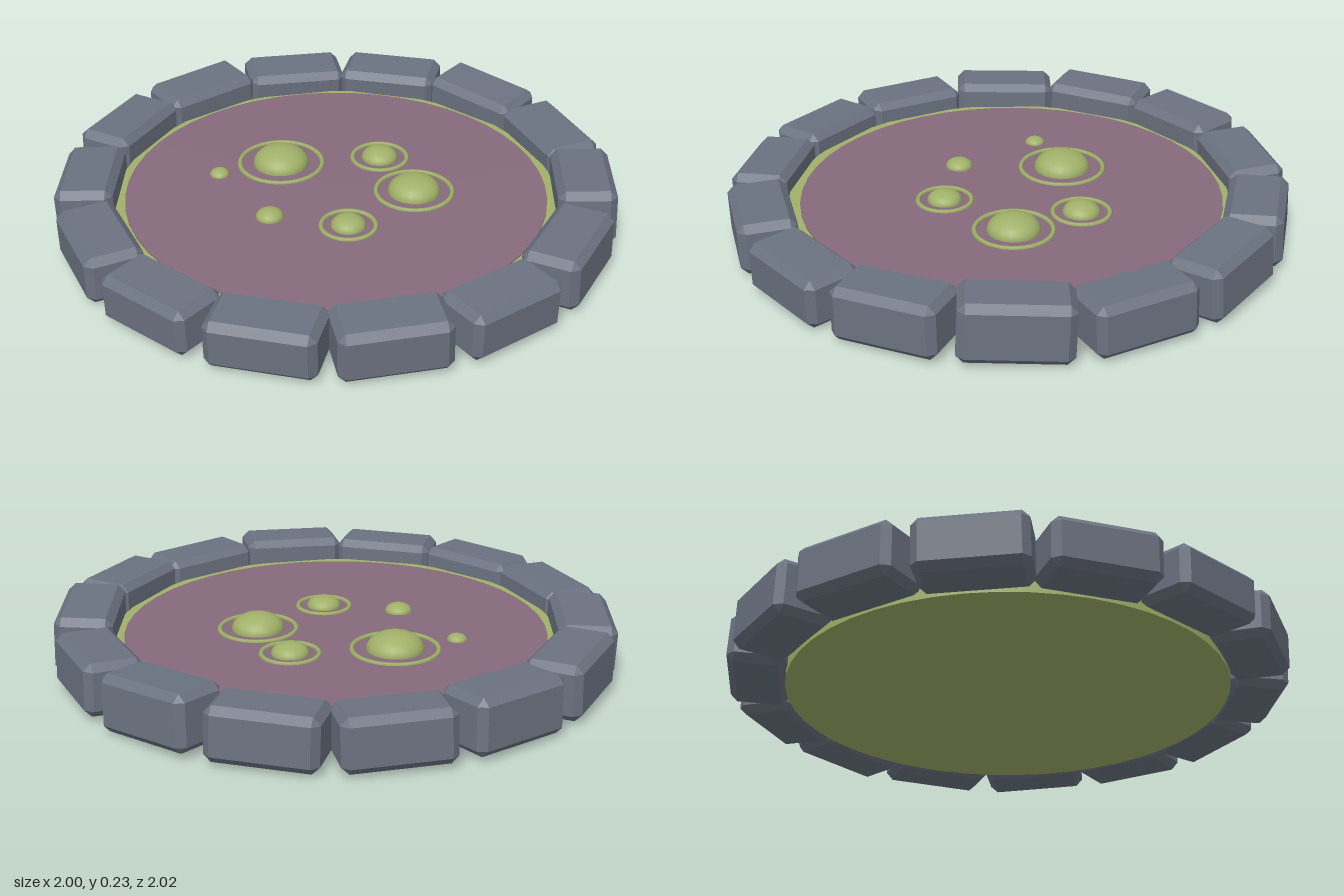
import * as THREE from 'three';
import { ConvexGeometry } from 'three/addons/geometries/ConvexGeometry.js';

const material = (name, color, flatShading = false) => {
  const m = new THREE.MeshStandardMaterial({ color, flatShading });
  m.name = name;
  return m;
};

// Box with every edge cut off by a bevel k
function chamferedBox(w, h, d, k) {
  const points = [];
  for (const x of [-w / 2, w / 2]) for (const y of [-h / 2, h / 2]) for (const z of [-d / 2, d / 2]) {
    const cx = x - Math.sign(x) * k, cy = y - Math.sign(y) * k, cz = z - Math.sign(z) * k;
    points.push(new THREE.Vector3(x, cy, cz), new THREE.Vector3(cx, y, cz), new THREE.Vector3(cx, cy, z));
  }
  return new ConvexGeometry(points);
}

export function createModel() {
  const group = new THREE.Group();
  const stone = material('stone grey', 0x6b7280, true);
  const slime = material('slime green', 0xa0b068);
  const mud = material('mud purple', 0x866a7c);

  const add = (name, geometry, mat, x, y, z) => {
    const mesh = new THREE.Mesh(geometry, mat);
    mesh.name = name;
    mesh.position.set(x, y, z);
    group.add(mesh);
    return mesh;
  };

  // Border stones: height of the top, sideways tilt, inward/outward tilt
  const stones = [
    [0.205, 0.02, 0.01], [0.222, -0.04, 0.03], [0.2, 0.02, 0.03], [0.212, 0.05, 0.04],
    [0.202, -0.02, 0.04], [0.2, 0.02, 0.05], [0.212, -0.02, 0.03], [0.21, 0.01, 0.01],
    [0.2, 0.02, -0.04], [0.188, 0, -0.03], [0.185, 0.01, -0.03], [0.187, 0.01, -0.03],
    [0.198, 0.02, -0.03], [0.19, -0.01, -0.04],
  ];
  stones.forEach(([top, roll, lean], i) => {
    const a = (i / stones.length) * Math.PI * 2;
    const h = top - 0.01;
    const mesh = add('borderStone' + (i + 1), chamferedBox(0.21, h, 0.38, 0.026), stone,
      Math.cos(a) * 0.892, 0.01 + h / 2, -Math.sin(a) * 0.892);
    mesh.rotation.set(roll, a, lean, 'YXZ');
  });

  // Pool basin and liquid surface
  add('poolBasin', new THREE.CylinderGeometry(0.8, 0.8, 0.105, 48), slime, 0, 0.0625, 0);
  add('poolSurface', new THREE.CylinderGeometry(0.765, 0.765, 0.09, 48), mud, -0.005, 0.075, -0.007);

  // Flattened bubbles: x, z, radius, ripple radius (0 for none)
  const level = 0.12;
  const bubbles = [
    [-0.28, -0.09, 0.104, 0.154], [0.25, -0.13, 0.096, 0.139], [0.03, -0.295, 0.068, 0.102],
    [0.145, 0.19, 0.063, 0.097], [-0.13, 0.265, 0.05, 0], [-0.44, 0.09, 0.036, 0],
  ];
  bubbles.forEach(([x, z, r, ripple], i) => {
    const dome = new THREE.SphereGeometry(r, 20, 8, 0, Math.PI * 2, 0, Math.PI / 2);
    add('bubble' + (i + 1), dome, slime, x, level, z).scale.y = 0.62;
    if (ripple) {
      const ring = new THREE.TorusGeometry(ripple, 0.009, 6, 36).rotateX(Math.PI / 2);
      add('ripple' + (i + 1), ring, slime, x, level, z);
    }
  });
  return group;
}
